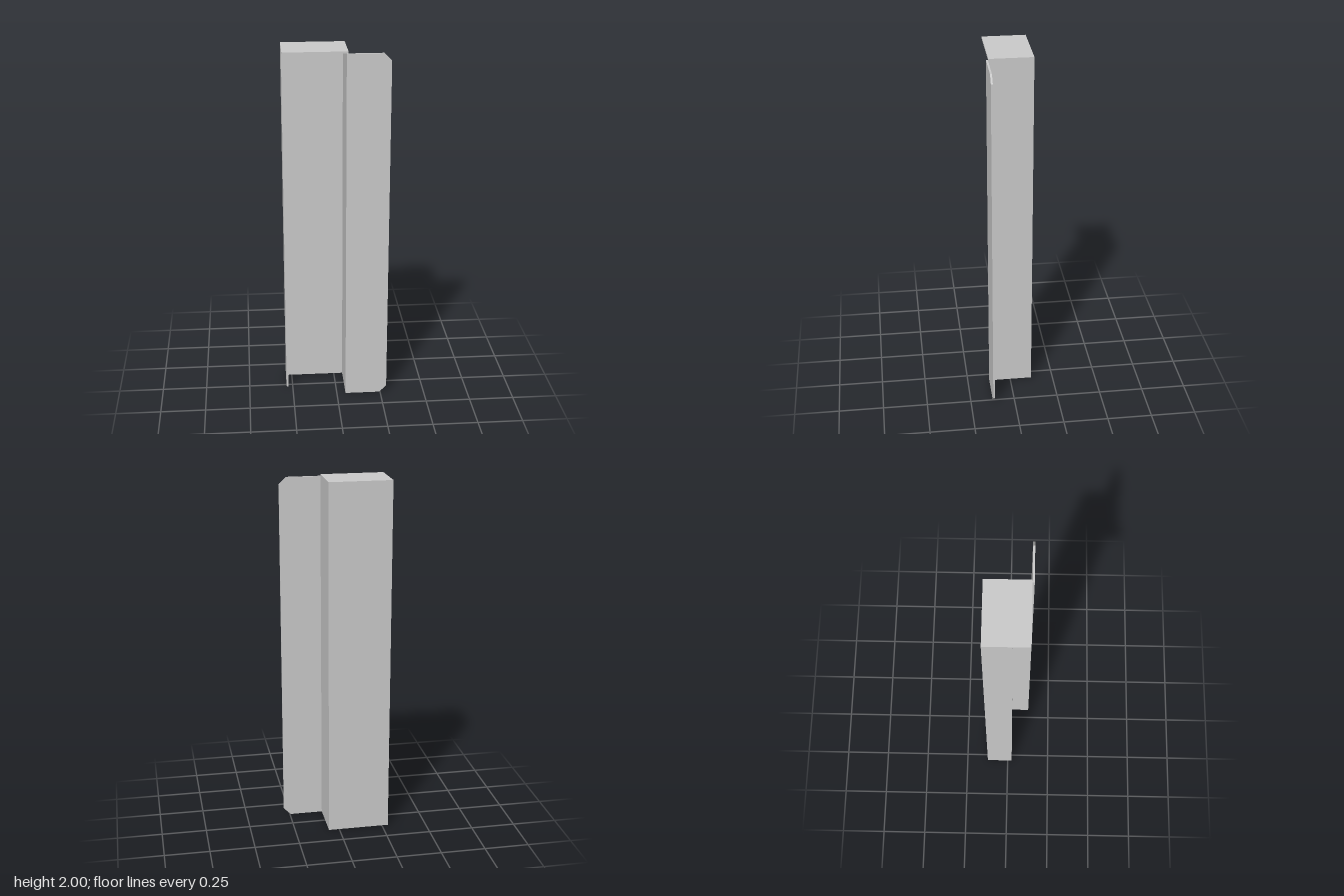
import * as THREE from 'three';

const T = 0.01; // sheet thickness
const H = 2;
const FLANGE_TOP = H - T;

export function createModel() {
  const group = new THREE.Group();
  const material = new THREE.MeshStandardMaterial({ color: 0xcccccc, flatShading: true });

  const add = (name, geometry) => {
    const mesh = new THREE.Mesh(geometry, material);
    mesh.name = name;
    group.add(mesh);
  };

  // Box given by its extents on each axis
  const panel = (name, [x0, x1], [y0, y1], [z0, z1]) => {
    const geometry = new THREE.BoxGeometry(x1 - x0, y1 - y0, z1 - z0);
    geometry.translate((x0 + x1) / 2, (y0 + y1) / 2, (z0 + z1) / 2);
    add(name, geometry);
  };

  // Folded channel: short return, back wall and deep side wall
  const wallY = [0, H - T];
  panel('backWall', [-0.285, 0.06], wallY, [-0.124, -0.124 + T]);
  panel('returnWall', [-0.285, -0.285 + T], wallY, [-0.124 + T, 0.025]);
  panel('sideWall', [0.06 - T, 0.06], wallY, [-0.124 + T, 0.114]);

  // Cover plate closing the top
  panel('topPlate', [-0.285, 0.06], [H - T, H], [-0.124, 0.113]);

  // Front flange with clipped outer corners
  const c = 0.04;
  const outline = new THREE.Shape([
    [0.05, 0], [0.285 - c, 0], [0.285, c],
    [0.285, FLANGE_TOP - c], [0.285 - c, FLANGE_TOP], [0.05, FLANGE_TOP],
  ].map(([x, y]) => new THREE.Vector2(x, y)));
  const flange = new THREE.ExtrudeGeometry(outline, { depth: T, bevelEnabled: false });
  flange.translate(0, 0, 0.114);
  add('frontFlange', flange);

  return group;
}
